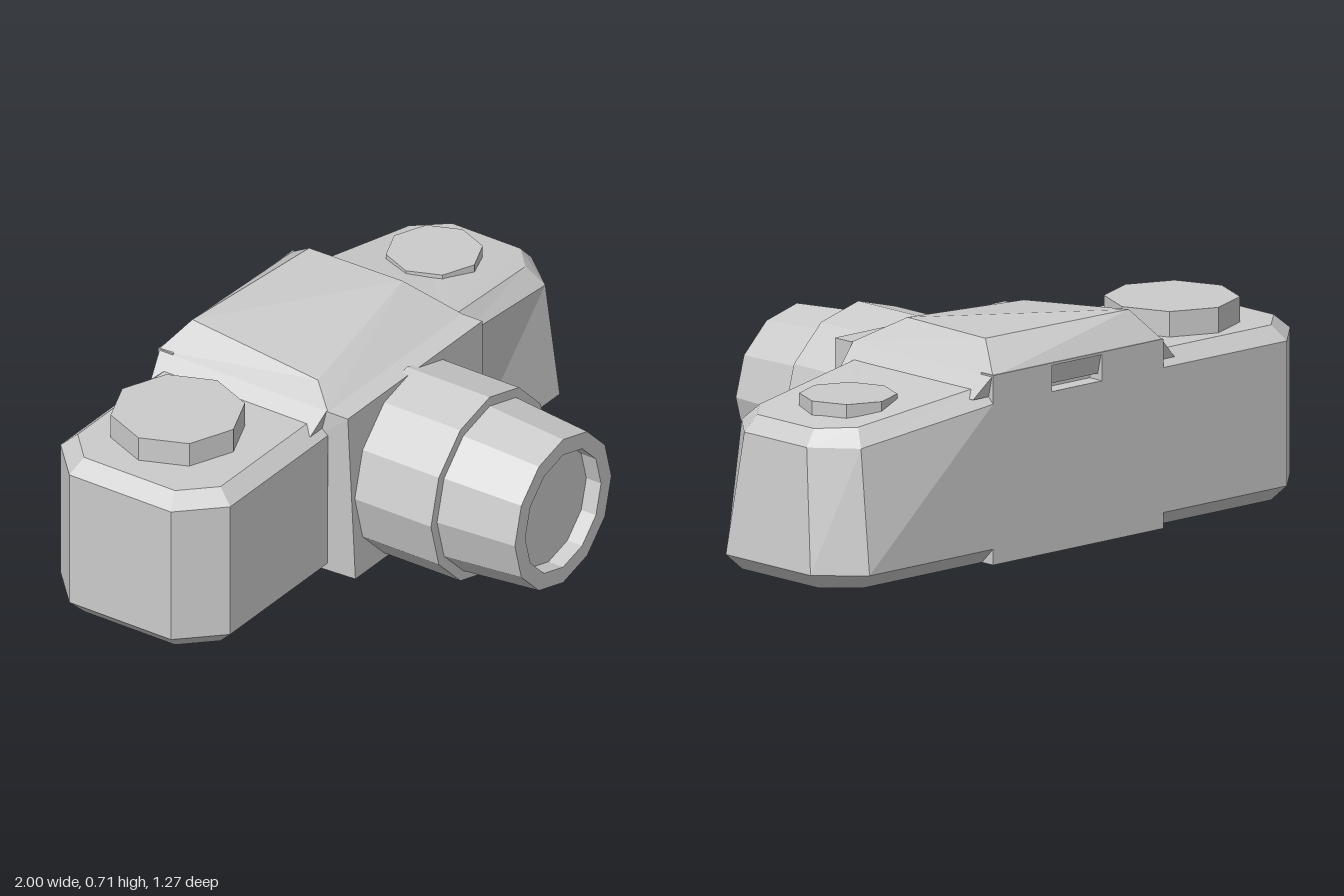
import * as THREE from 'three';

const material = new THREE.MeshStandardMaterial({ color: 0xcccccc, flatShading: true });

function add(group, name, geometry, x = 0, y = 0, z = 0) {
  const mesh = new THREE.Mesh(geometry, material);
  mesh.name = name;
  mesh.position.set(x, y, z);
  group.add(mesh);
  return mesh;
}

// Closed solid through stacked rings of [x, y, z], each counter-clockwise from above
function loft(rings) {
  const pos = [];
  const tri = (a, b, c) => pos.push(...a, ...b, ...c);
  const n = rings[0].length;
  for (let r = 0; r < rings.length - 1; r++) {
    const lo = rings[r], hi = rings[r + 1];
    for (let i = 0; i < n; i++) {
      const j = (i + 1) % n;
      tri(lo[i], lo[j], hi[j]);
      tri(lo[i], hi[j], hi[i]);
    }
  }
  const first = rings[0], last = rings[rings.length - 1];
  for (let i = 1; i < n - 1; i++) {
    tri(first[0], first[i + 1], first[i]);
    tri(last[0], last[i], last[i + 1]);
  }
  const g = new THREE.BufferGeometry();
  g.setAttribute('position', new THREE.Float32BufferAttribute(pos, 3));
  g.computeVertexNormals();
  return g;
}

const level = (y, pts) => pts.map(([x, z]) => [x, y, z]);
const rect = (y, x, front, back) => level(y, [[x, front], [x, back], [-x, back], [-x, front]]);
const mirrorRing = ring => ring.map(([x, y, z]) => [-x, y, z]).reverse();

export function createModel() {
  const model = new THREE.Group();
  model.name = 'camera';

  // Chamfered end of the body: full outline and bevelled outline
  const W = 0.355;
  const full = [[W, 0], [0.87, 0], [1, -0.13], [1, -0.51], [0.87, -0.635], [W, -0.635]];
  const inset = [[W, -0.05], [0.85, -0.05], [0.95, -0.15], [0.95, -0.49], [0.85, -0.585], [W, -0.585]];
  const wing = [level(0.025, inset), level(0.075, full), level(0.53, full), level(0.575, inset)];
  add(model, 'rightBody', loft(wing.map(mirrorRing)));

  // The other end tapers and its top slopes down
  const shoulder = [[W, 0.53, 0], [0.85, 0.46, -0.04], [0.96, 0.46, -0.17],
    [0.96, 0.46, -0.45], [0.85, 0.46, -0.575], [W, 0.53, -0.635]];
  const top = [[W, 0.58, -0.05], [0.83, 0.515, -0.1], [0.915, 0.51, -0.18],
    [0.915, 0.51, -0.435], [0.82, 0.515, -0.53], [W, 0.58, -0.585]];
  add(model, 'leftBody', loft([wing[0], wing[1], shoulder, top]));

  // Central block carrying the lens
  add(model, 'centreBlock', loft([
    level(0.025, [[W, 0.075], [W, -0.58], [-W, -0.58], [-0.315, 0.075]]),
    rect(0.615, W, 0.075, -0.58),
  ]));

  // Back wall with the eyepiece opening
  const wall = new THREE.Shape();
  wall.moveTo(-W, 0.025).lineTo(W, 0.025).lineTo(W, 0.62).lineTo(-W, 0.62).closePath();
  const hole = new THREE.Path();
  hole.moveTo(-0.1, 0.53).lineTo(-0.1, 0.612).lineTo(0.11, 0.612).lineTo(0.11, 0.53).closePath();
  wall.holes.push(hole);
  add(model, 'eyepieceWall',
    new THREE.ExtrudeGeometry(wall, { depth: 0.055, bevelEnabled: false }), 0, 0, -0.635);

  // Sloping collar and prism hump
  add(model, 'prismCollar', loft([rect(0.55, 0.42, -0.02, -0.615), rect(0.615, W, -0.005, -0.63)]));
  add(model, 'prismHousing', loft([
    rect(0.615, W, 0, -0.635),
    [[0.28, 0.71, -0.17], [0.28, 0.705, -0.52], [-0.28, 0.712, -0.56], [-0.28, 0.66, -0.09]],
  ]));

  // Lens barrel with a stepped front and recessed glass
  const profile = [[0, 0.05], [0.31, 0.05], [0.31, 0.36], [0.278, 0.36],
    [0.255, 0.635], [0.2, 0.635], [0.2, 0.58], [0, 0.58]];
  const lens = new THREE.LatheGeometry(profile.map(p => new THREE.Vector2(...p)), 12);
  lens.rotateX(Math.PI / 2);
  add(model, 'lens', lens, -0.008, 0.312, 0);

  // Eight-sided dials on top
  for (const [name, r, low, high, x, z] of [
    ['rewindDial', 0.208, 0.56, 0.655, -0.66, -0.345],
    ['shutterDial', 0.15, 0.48, 0.565, 0.68, -0.335],
  ]) {
    add(model, name, new THREE.CylinderGeometry(r, r, high - low, 8), x, (low + high) / 2, z);
  }

  return model;
}
